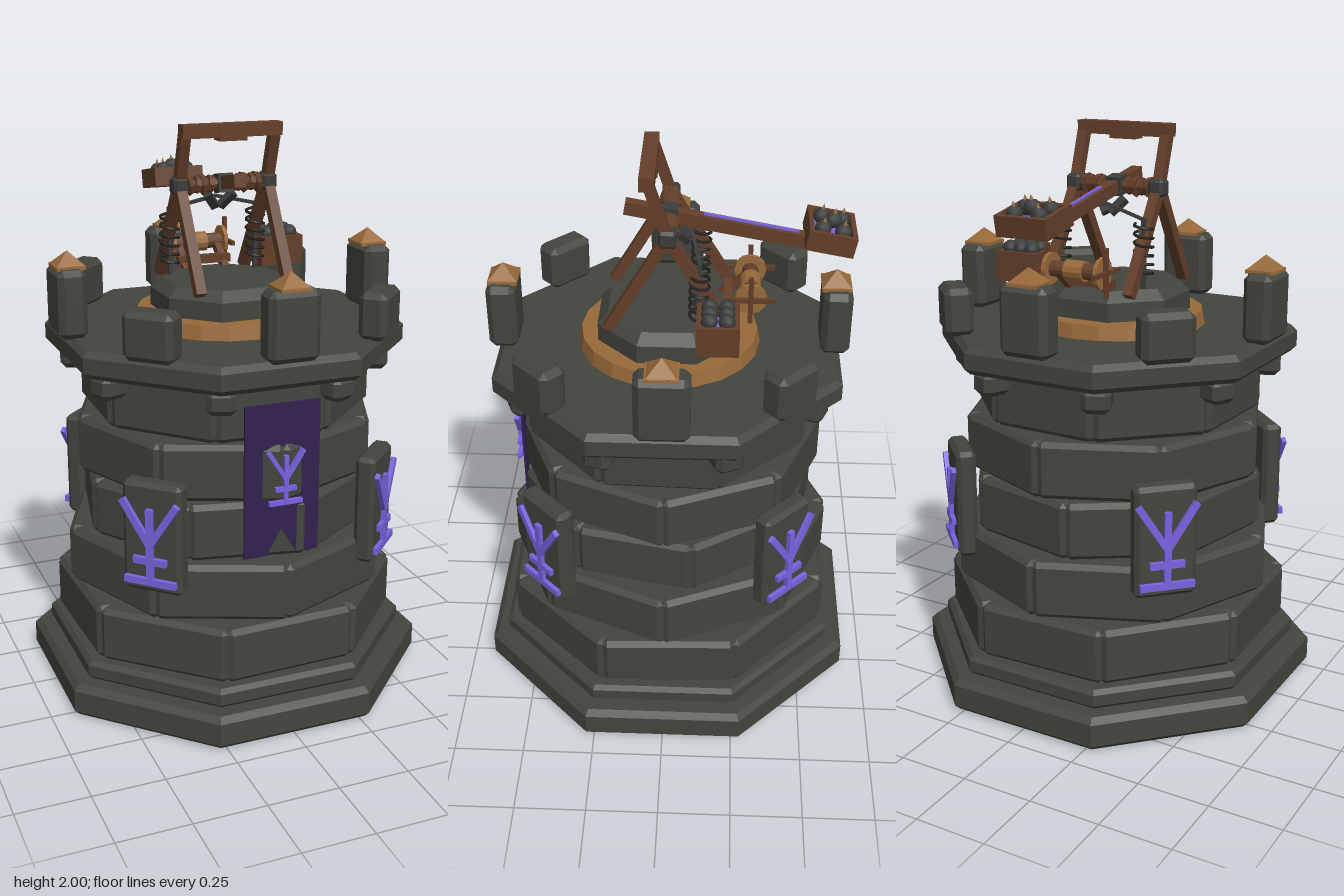
import * as THREE from 'three';
import { ConvexGeometry } from 'three/addons/geometries/ConvexGeometry.js';

const mat = (name, color, extra = {}) => Object.assign(new THREE.MeshStandardMaterial({ color, ...extra }), { name });
const V = (x, y, z) => new THREE.Vector3(x, y, z);

export function createModel() {
  const stone = mat('stone', 0x43453e);
  const darkStone = mat('dark stone', 0x31332e);
  const wood = mat('wood', 0x643f2a);
  const bronze = mat('bronze', 0x986a3a);
  const iron = mat('iron', 0x3a3d3b);
  const rope = mat('rope', 0x232422);
  const glow = mat('violet glow', 0x7a62e0);
  const cloth = mat('banner cloth', 0x32214f, { side: THREE.DoubleSide });

  const model = new THREE.Group();
  model.name = 'siegeTower';

  // ---- helpers ----
  const add = (parent, name, geo, material, x = 0, y = 0, z = 0) => {
    const m = new THREE.Mesh(geo, material);
    m.name = name;
    m.position.set(x, y, z);
    parent.add(m);
    return m;
  };
  const group = (parent, name, angle = 0) => {
    const g = new THREE.Group();
    g.name = name;
    g.rotation.y = angle;
    parent.add(g);
    return g;
  };
  const flat = (geo) => {
    const g = geo.index ? geo.toNonIndexed() : geo;
    g.computeVertexNormals();
    return g;
  };
  const box = (w, h, d) => new THREE.BoxGeometry(w, h, d);
  // box with all edges chamfered by c
  const chamferBox = (w, h, d, c) => {
    const pts = [];
    for (const sx of [-1, 1]) for (const sy of [-1, 1]) for (const sz of [-1, 1])
      for (let k = 0; k < 3; k++)
        pts.push(V(sx * (w / 2 - (k === 0 ? 0 : c)), sy * (h / 2 - (k === 1 ? 0 : c)), sz * (d / 2 - (k === 2 ? 0 : c))));
    return new ConvexGeometry(pts);
  };
  // octagonal slab, profile given as [apothem, y]
  const octagon = (profile) => flat(new THREE.LatheGeometry(
    profile.map(([a, y]) => new THREE.Vector2(a / Math.cos(Math.PI / 8), y)), 8, Math.PI / 8));
  const slab = (a, y0, y1, c) => octagon([[0, y0], [a - c, y0], [a, y0 + c], [a, y1 - c], [a - c, y1], [0, y1]]);
  const beam = (parent, name, a, b, w, d, material = wood) => {
    const dir = b.clone().sub(a);
    const m = add(parent, name, box(w, dir.length(), d), material);
    m.position.copy(a).add(b).multiplyScalar(0.5);
    m.quaternion.setFromUnitVectors(V(0, 1, 0), dir.normalize());
    return m;
  };
  const rune = (parent, y, z, s) => {
    const g = group(parent, 'rune');
    g.position.set(0, y, z);
    g.scale.set(s, s, 1);
    const stroke = (x0, y0, x1, y1) => beam(g, 'runeStroke', V(x0, y0, 0), V(x1, y1, 0), 0.024, 0.016, glow);
    stroke(0, 0, 0, 0.26);
    for (const s2 of [-1, 1]) stroke(0, 0.13, s2 * 0.1, 0.285);
    stroke(-0.06, 0.075, 0.06, 0.075);
    stroke(-0.095, 0, 0.095, 0);
  };

  // ---- tower body ----
  add(model, 'basePlinth', slab(0.67, 0, 0.12, 0.02), stone);
  add(model, 'upperPlinth', slab(0.61, 0.12, 0.19, 0.015), stone);
  add(model, 'towerCore', slab(0.44, 0.18, 1.23, 0.01), darkStone);
  // [bottom, top, apothem, twist in degrees]
  const courses = [[0.195, 0.39, 0.58, 2], [0.395, 0.595, 0.55, 22.5], [0.6, 0.8, 0.5, -12],
    [0.81, 1.008, 0.51, 22.5], [1.015, 1.212, 0.482, -2]];
  courses.forEach(([y0, y1, a, twist], i) => {
    const ring = group(model, 'stoneCourse' + (i + 1), twist * Math.PI / 180);
    const geo = chamferBox(2 * a * Math.tan(Math.PI / 8) - 0.008, y1 - y0, 0.14, 0.017);
    for (let k = 0; k < 8; k++)
      add(group(ring, 'blockMount', k * Math.PI / 4), 'stoneBlock', geo, stone, 0, (y0 + y1) / 2, a - 0.07);
  });
  const corbel = chamferBox(0.1, 0.085, 0.14, 0.02);
  for (let k = 0; k < 8; k++)
    add(group(model, 'corbelMount', (k + 0.5) * Math.PI / 4), 'corbel', corbel, stone, 0, 1.175, 0.515);
  add(model, 'parapetDeck', slab(0.59, 1.215, 1.31, 0.02), stone);

  // ---- merlons and rune tablets ----
  const cap = flat(new THREE.ConeGeometry(0.072, 0.05, 4, 1, false, Math.PI / 4));
  for (let k = 0; k < 4; k++) {
    const side = group(model, 'tallMerlon', k * Math.PI / 2);
    add(side, 'merlonStone', chamferBox(0.18, 0.235, 0.1, 0.02), stone, 0, 1.425, 0.57);
    add(side, 'capBase', box(0.108, 0.012, 0.1), bronze, 0, 1.544, 0.565);
    add(side, 'merlonCap', cap, bronze, 0, 1.572, 0.565);
    const corner = group(model, 'cornerSide', (k + 0.5) * Math.PI / 2);
    add(corner, 'lowMerlon', chamferBox(0.18, 0.165, 0.1, 0.02), stone, 0, 1.388, 0.573);
    add(corner, 'runeTablet', chamferBox(0.215, 0.39, 0.07, 0.015), stone, 0, 0.7, 0.573);
    rune(corner, 0.55, 0.618, 1);
  }

  // ---- front banner with notched hem ----
  const bs = new THREE.Shape([[-0.135, 1.15], [-0.135, 0.615], [-0.055, 0.615], [0, 0.71], [0.055, 0.615], [0.135, 0.615], [0.135, 1.15]]
    .map(([x, y]) => new THREE.Vector2(x, y)));
  add(model, 'banner', new THREE.ExtrudeGeometry(bs, { depth: 0.008, bevelEnabled: false }), cloth, 0, 0, 0.515);
  rune(model, 0.815, 0.552, 0.63);

  // ---- turntable ----
  add(model, 'turntableRing', flat(new THREE.CylinderGeometry(0.305, 0.315, 0.05, 20)), bronze, 0, 1.335, 0);
  add(model, 'turntableStone', octagon([[0.24, 1.35], [0.24, 1.425], [0.205, 1.46], [0, 1.46]]), stone);

  // ---- catapult frame ----
  const cat = group(model, 'catapult');
  const pivotY = 1.79;
  for (const s of [-1, 1]) {
    const x = s * 0.163;
    beam(cat, 'frontLeg', V(x, 1.45, 0.2), V(x, pivotY, 0), 0.036, 0.036);
    beam(cat, 'rearLeg', V(x, 1.45, -0.21), V(x, pivotY, 0), 0.036, 0.036);
    beam(cat, 'upperPost', V(x, pivotY, 0), V(x, 1.98, 0.063), 0.036, 0.034);
    add(cat, 'pivotHub', chamferBox(0.055, 0.06, 0.06, 0.01), iron, x, pivotY, 0);
    // wound cord on the axle
    for (let i = 0; i < 4; i++) {
      const w = add(cat, 'axleWinding', flat(new THREE.CylinderGeometry(i % 2 ? 0.038 : 0.03, 0.03, 0.02, 8)), wood, s * (0.052 + i * 0.024), pivotY, 0);
      w.rotation.z = Math.PI / 2 + (i % 2 ? 0.2 : -0.15);
    }
    // coil spring and its tension cord
    const pts = [];
    for (let i = 0; i <= 72; i++) {
      const t = i / 72, a = t * Math.PI * 12;
      pts.push(V(x + 0.032 * Math.cos(a), 1.5 + 0.18 * t, -0.105 + 0.032 * Math.sin(a)));
    }
    add(cat, 'coilSpring', new THREE.TubeGeometry(new THREE.CatmullRomCurve3(pts), 110, 0.0055, 5), rope);
    beam(cat, 'springRod', V(x, 1.455, -0.105), V(x, 1.7, -0.105), 0.014, 0.014, iron);
    beam(cat, 'tensionCord', V(x, 1.695, -0.105), V(0, 1.735, -0.075), 0.011, 0.011, iron);
    beam(cat, 'armStrap', V(s * 0.05, 1.75, -0.03), V(s * 0.008, 1.7, -0.06), 0.022, 0.03, iron);
  }
  const axle = add(cat, 'axle', flat(new THREE.CylinderGeometry(0.018, 0.018, 0.38, 8)), wood, 0, pivotY, 0);
  axle.rotation.z = Math.PI / 2;
  add(cat, 'topCrossbeam', box(0.36, 0.045, 0.05), wood, 0, 1.9775, 0.065);
  add(cat, 'stopPad', box(0.1, 0.03, 0.056), wood, 0, 1.958, 0.065);

  // ---- throwing arm with basket ----
  const arm = group(cat, 'throwingArm');
  arm.position.set(0, pivotY, 0);
  arm.rotation.x = -0.185;
  add(arm, 'armBeam', box(0.04, 0.045, 0.66), wood, 0, 0, -0.18);
  add(arm, 'armStripe', box(0.01, 0.008, 0.32), glow, 0, 0.025, -0.27);
  add(arm, 'armCollar', box(0.055, 0.065, 0.05), iron, 0, 0, 0);
  const crate = (parent, name, w, h, d, x, y, z) => {
    const g = group(parent, name);
    g.position.set(x, y, z);
    add(g, 'crateFloor', box(w, 0.012, d), wood, 0, 0.006, 0);
    add(g, 'glowBed', box(w - 0.03, 0.006, d - 0.03), glow, 0, h * 0.55, 0);
    for (const s of [-1, 1]) {
      add(g, 'crateSide', box(0.016, h, d), wood, s * (w / 2 - 0.008), h / 2, 0);
      add(g, 'crateEnd', box(w, h, 0.016), wood, 0, h / 2, s * (d / 2 - 0.008));
    }
    return g;
  };
  const shot = new THREE.IcosahedronGeometry(0.028, 1);
  const basket = crate(arm, 'basket', 0.19, 0.07, 0.16, 0, 0.012, -0.53);
  for (const [x, z] of [[-1, -1], [1, -1], [-1, 1], [1, 1], [0, 0]]) {
    const y = x ? 0.064 : 0.078;
    add(basket, 'shot', shot, iron, x * 0.046, y, z * 0.034);
    add(basket, 'shotFuse', new THREE.ConeGeometry(0.008, 0.02, 5), bronze, x * 0.046, y + 0.034, z * 0.034);
  }

  // ---- ammunition crate ----
  const ammo = crate(cat, 'ammoCrate', 0.16, 0.105, 0.14, 0.27, 1.462, -0.168);
  for (let i = 0; i < 6; i++)
    add(ammo, 'shot', shot, iron, ((i % 3) - 1) * 0.044, 0.112, i < 3 ? -0.028 : 0.028);

  // ---- winch behind the frame ----
  const winch = group(cat, 'winch');
  winch.position.set(0, 1.535, -0.275);
  const roll = (name, r, len, material, x) => {
    const m = add(winch, name, flat(new THREE.CylinderGeometry(r, r, len, 12)), material, x, 0, 0);
    m.rotation.z = Math.PI / 2;
  };
  roll('drum', 0.028, 0.2, wood, 0);
  roll('cordRoll', 0.036, 0.07, bronze, 0);
  for (const s of [-1, 1]) {
    roll('winchDisc', 0.055, 0.014, bronze, s * 0.1);
    add(winch, 'spoke', box(0.014, 0.17, 0.016), wood, s * 0.113, 0, 0);
    add(winch, 'spoke', box(0.014, 0.016, 0.17), wood, s * 0.113, 0, 0);
    beam(winch, 'winchBracket', V(s * 0.075, -0.085, 0.1), V(s * 0.075, 0, 0), 0.025, 0.03);
  }
  add(winch, 'winchCrossbar', box(0.2, 0.03, 0.03), wood, 0, -0.05, 0.075);

  return model;
}
